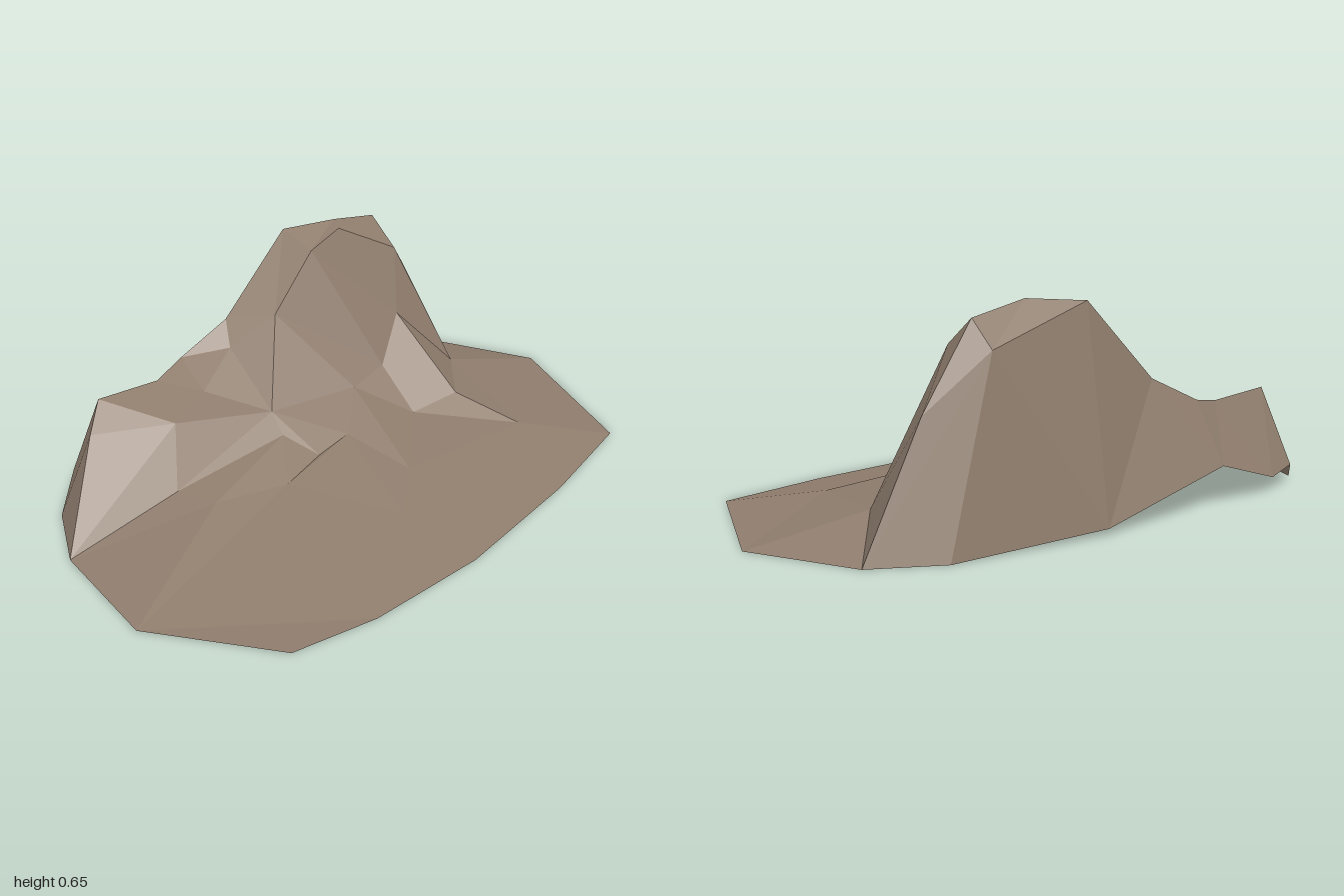
import * as THREE from 'three';

// Points shared by several contour lines
const west = [-0.93, 0, -0.26], east = [0.87, 0, -0.38];
const westTip = [-1, 0, 0.13], eastTip = [1, 0, -0.03];
const shoulder = [-0.7, 0.25, -0.43], lowPeak = [-0.62, 0.32, -0.485];
const saddle = [-0.4, 0.3, -0.475], notch = [-0.27, 0.32, -0.51];
const step = [-0.09, 0.4, -0.49], backPeak = [0.17, 0.64, -0.48];
const gully = [-0.16, 0.19, -0.21], spurFoot = [0.67, 0.08, -0.15];

// Contour lines, each running from -x to +x, ordered from back to front
const backRim = [west, [-0.81, 0, -0.465], [-0.69, 0.07, -0.555], [-0.57, 0.05, -0.575],
  [-0.29, 0.13, -0.6], [0.18, 0.02, -0.58], [0.68, 0, -0.5], east];
const backCrest = [west, shoulder, lowPeak, saddle, notch, step, backPeak, [0.51, 0.53, -0.47], east];
const topCrest = [west, shoulder, lowPeak, saddle, notch, [-0.13, 0.33, -0.43], step, backPeak,
  [0.33, 0.65, -0.4], [0.52, 0.61, -0.4], [0.69, 0.37, -0.4], east];
const frontCrest = [west, [-0.47, 0.24, -0.31], [-0.3, 0.26, -0.37], gully, [0, 0.43, -0.35],
  [0.17, 0.6, -0.35], [0.3, 0.64, -0.35], [0.5, 0.53, -0.28], spurFoot, east];
const cliffFoot = [west, [-0.56, 0.08, -0.21], gully, [0.15, 0.18, -0.14], [0.3, 0.2, -0.15],
  [0.45, 0.32, -0.22], spurFoot, east];
const midSlope = [west, [-0.52, 0.08, -0.08], [-0.18, 0.14, -0.14], [-0.13, 0.09, -0.03],
  [0, 0.11, -0.03], [0.15, 0.18, -0.14], [0.29, 0.08, 0], [0.45, 0.11, 0.05], spurFoot, east];
const lowSlope = [westTip, [-0.3, 0.075, 0], [-0.14, 0.04, 0.33], [0.04, 0.06, 0.2],
  [0.53, 0.04, 0.26], eastTip];
const frontRim = [westTip, [-0.78, 0, 0.5], [-0.52, 0, 0.57], [-0.13, 0, 0.6],
  [0.35, 0, 0.56], [0.74, 0, 0.49], eastTip];

const dist = (a, b) => Math.hypot(a[0] - b[0], a[1] - b[1], a[2] - b[2]);

// Join two contour lines with triangles, always taking the shorter diagonal
function stitch(back, front, out) {
  let i = 0, j = 0;
  while (i < back.length - 1 || j < front.length - 1) {
    const a = back[i], b = front[j], a2 = back[i + 1], b2 = front[j + 1];
    const useBack = a2 && (!b2 || dist(a2, b) <= dist(a, b2));
    const c = useBack ? a2 : b2;
    if (dist(a, b) > 1e-6 && dist(a, c) > 1e-6 && dist(b, c) > 1e-6) out.push(...a, ...b, ...c);
    if (useBack) i++; else j++;
  }
}

function rockSurface(name, lines, material) {
  const positions = [];
  for (let k = 0; k < lines.length - 1; k++) stitch(lines[k], lines[k + 1], positions);
  const geometry = new THREE.BufferGeometry();
  geometry.setAttribute('position', new THREE.Float32BufferAttribute(positions, 3));
  geometry.computeVertexNormals(); // unshared corners give flat facets
  const mesh = new THREE.Mesh(geometry, material);
  mesh.name = name;
  return mesh;
}

export function createModel() {
  const group = new THREE.Group();
  group.name = 'rockyHill';
  const rock = new THREE.MeshStandardMaterial({ color: 0x8f7d6d, side: THREE.DoubleSide, flatShading: true });
  rock.name = 'brown rock';

  // Open shell: rear cliff, ridge top, steep front cliff and the wide apron
  group.add(
    rockSurface('rearCliff', [backRim, backCrest], rock),
    rockSurface('ridgeTop', [backCrest, topCrest, frontCrest], rock),
    rockSurface('frontCliff', [frontCrest, cliffFoot], rock),
    rockSurface('frontApron', [cliffFoot, midSlope, lowSlope, frontRim], rock),
  );
  return group;
}
